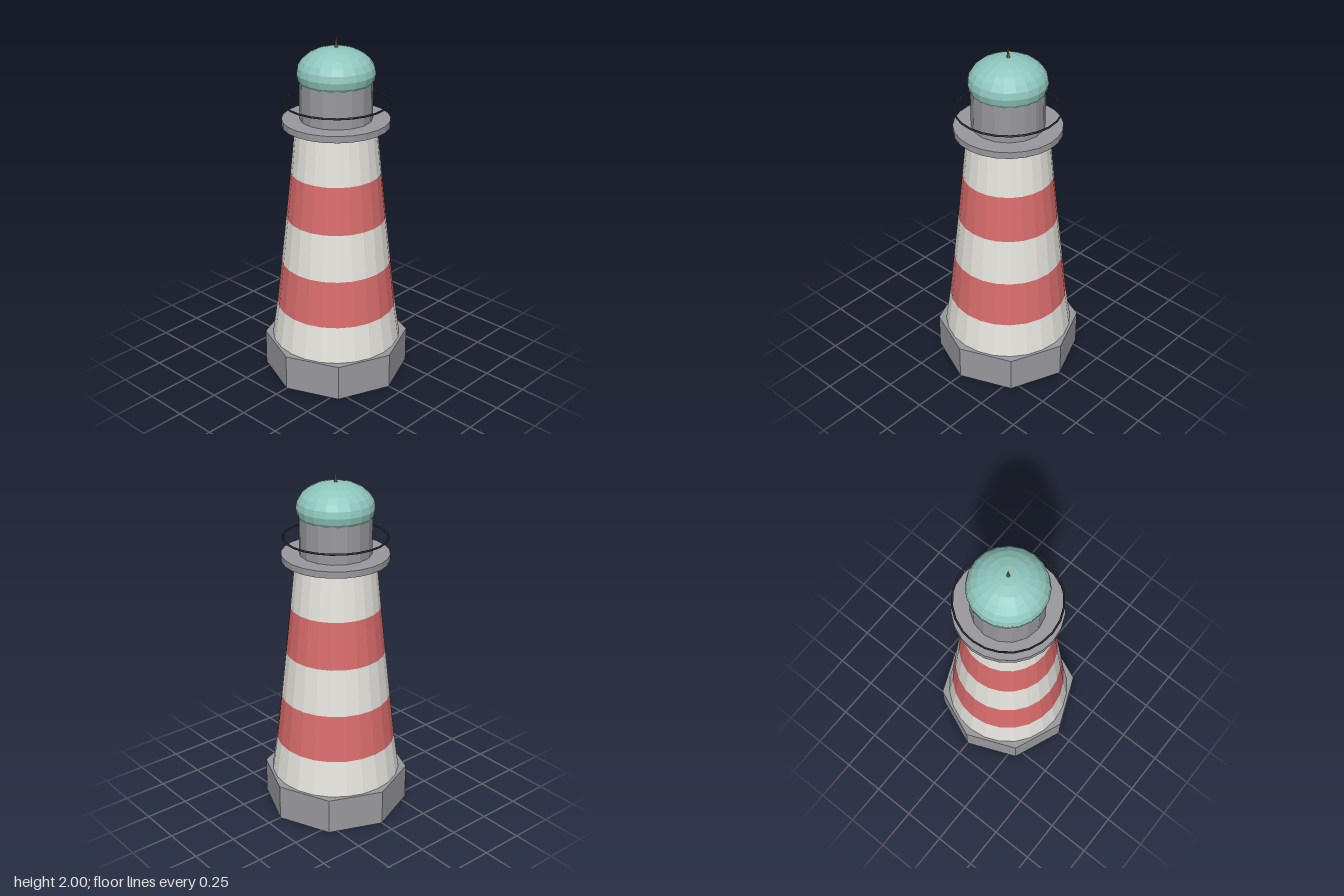
import * as THREE from 'three';

const mat = (color) => new THREE.MeshStandardMaterial({ color, flatShading: true });

export function createModel() {
  const model = new THREE.Group();
  model.name = 'lighthouse';

  const stone = mat(0x9a999d);
  const cream = mat(0xe6e4de);
  const red = mat(0xd96c6c);
  const copper = mat(0x8fc6bc);
  const iron = mat(0x3a3a40);
  const brass = mat(0x9a8250);

  const add = (name, geometry, material, y) => {
    const mesh = new THREE.Mesh(geometry, material);
    mesh.name = name;
    mesh.position.y = y;
    model.add(mesh);
    return mesh;
  };
  // Round part standing between two heights
  const drum = (name, y0, y1, r0, r1, sides, material, open = false) =>
    add(name, new THREE.CylinderGeometry(r1, r0, y1 - y0, sides, 1, open), material, (y0 + y1) / 2);

  // Octagonal foundation
  drum('foundation', 0, 0.21, 0.417, 0.417, 8, stone);

  // Tapering tower in alternating bands
  const heights = [0.21, 0.42, 0.69, 0.96, 1.23, 1.502];
  const radii = [0.373, 0.343, 0.312, 0.282, 0.253, 0.225];
  for (let i = 0; i < 5; i++) {
    drum(`towerBand${i + 1}`, heights[i], heights[i + 1], radii[i], radii[i + 1], 24,
      i % 2 ? red : cream, true);
  }

  // Gallery deck and its hand rail
  drum('galleryDeck', 1.502, 1.539, 0.298, 0.298, 24, stone);
  const rail = add('galleryRail', new THREE.TorusGeometry(0.287, 0.0055, 6, 24), iron, 1.63);
  rail.rotation.x = Math.PI / 2;

  // Lantern room, dome and finial
  drum('lanternRoom', 1.539, 1.78, 0.2, 0.2, 16, stone);
  const dome = add('dome', new THREE.SphereGeometry(0.215, 20, 12), copper, 1.795);
  dome.scale.y = 0.65;
  add('finial', new THREE.ConeGeometry(0.011, 0.08, 8), brass, 1.96);

  return model;
}
